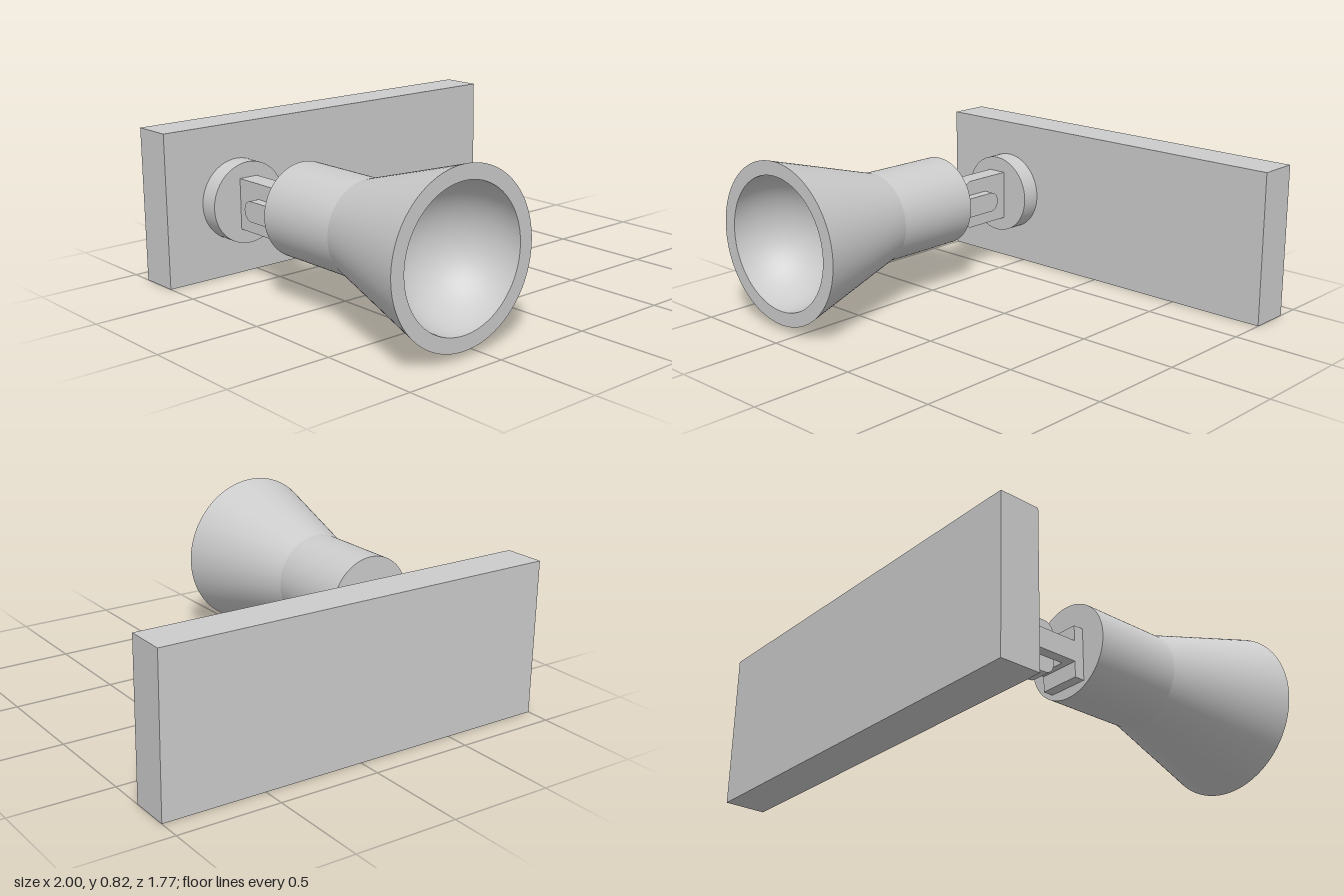
import * as THREE from 'three';

const material = new THREE.MeshStandardMaterial({ color: 0xcccccc, side: THREE.DoubleSide });
const X = -0.602; // lamp axis

export function createModel() {
  const group = new THREE.Group();
  const add = (name, geometry, x, y, z) => {
    const mesh = new THREE.Mesh(geometry, material);
    mesh.name = name;
    mesh.position.set(x, y, z);
    group.add(mesh);
    return mesh;
  };

  // Lathe around the z axis; each run of [radius, z] points is smooth, runs meet at sharp edges
  const turned = (name, runs, y) => {
    const part = new THREE.Group();
    part.name = name;
    for (const run of runs) {
      const points = run.map(([r, z]) => new THREE.Vector2(r, z));
      const geometry = new THREE.LatheGeometry(points, 96).rotateX(Math.PI / 2);
      part.add(new THREE.Mesh(geometry, material));
    }
    part.position.set(X, y, 0);
    group.add(part);
  };

  // Bar in the z-y plane, rounded at the end z1, extruded along x and centred on x
  const roundedBar = (name, z0, z1, height, radius, width, x, y) => {
    const h = height / 2;
    const dir = Math.sign(z1 - z0);
    const length = Math.abs(z1 - z0);
    const shape = new THREE.Shape();
    shape.moveTo(0, -h);
    shape.lineTo(length - radius, -h);
    shape.absarc(length - radius, -h + radius, radius, -Math.PI / 2, 0, false);
    shape.lineTo(length, h - radius);
    shape.absarc(length - radius, h - radius, radius, 0, Math.PI / 2, false);
    shape.lineTo(0, h);
    shape.closePath();
    const geometry = new THREE.ExtrudeGeometry(shape, { depth: width, bevelEnabled: false, curveSegments: 16 });
    geometry.translate(0, 0, -width / 2).rotateY(-dir * Math.PI / 2);
    add(name, geometry, x, y, z0);
  };

  // Wall plate and round mount
  add('wallPlate', new THREE.BoxGeometry(2, 0.75, 0.2), 0, 0.375, -0.787);
  add('mountDisc', new THREE.CylinderGeometry(0.2, 0.2, 0.1, 96).rotateX(Math.PI / 2), X, 0.375, -0.64);

  // Hinge: tongue from the mount, gripped by a fork on the lamp
  roundedBar('hingeTongue', -0.59, -0.29, 0.25, 0.05, 0.1, X, 0.375);
  for (const side of [-1, 1]) {
    roundedBar('forkProng', -0.21, -0.488, 0.1, 0.05, 0.05, X + side * 0.075, 0.375);
  }
  add('forkBridge', new THREE.BoxGeometry(0.1, 0.1, 0.03), X, 0.375, -0.225);
  add('forkBase', new THREE.BoxGeometry(0.2, 0.25, 0.05), X, 0.375, -0.185);

  // Lamp head: back, barrel, flared shade, rim and hemispherical bowl
  const front = 0.887, bowl = 0.325;
  const bowlRun = [];
  for (let i = 0; i <= 24; i++) {
    const a = (i / 24) * Math.PI / 2;
    bowlRun.push([bowl * Math.cos(a), front - bowl * Math.sin(a)]);
  }
  turned('lampHead', [
    [[0, -0.16], [0.224, -0.16]],
    [[0.224, -0.16], [0.224, 0.288]],
    [[0.224, 0.288], [0.394, front]],
    [[0.394, front], [bowl, front]],
    bowlRun,
  ], 0.425);

  return group;
}
